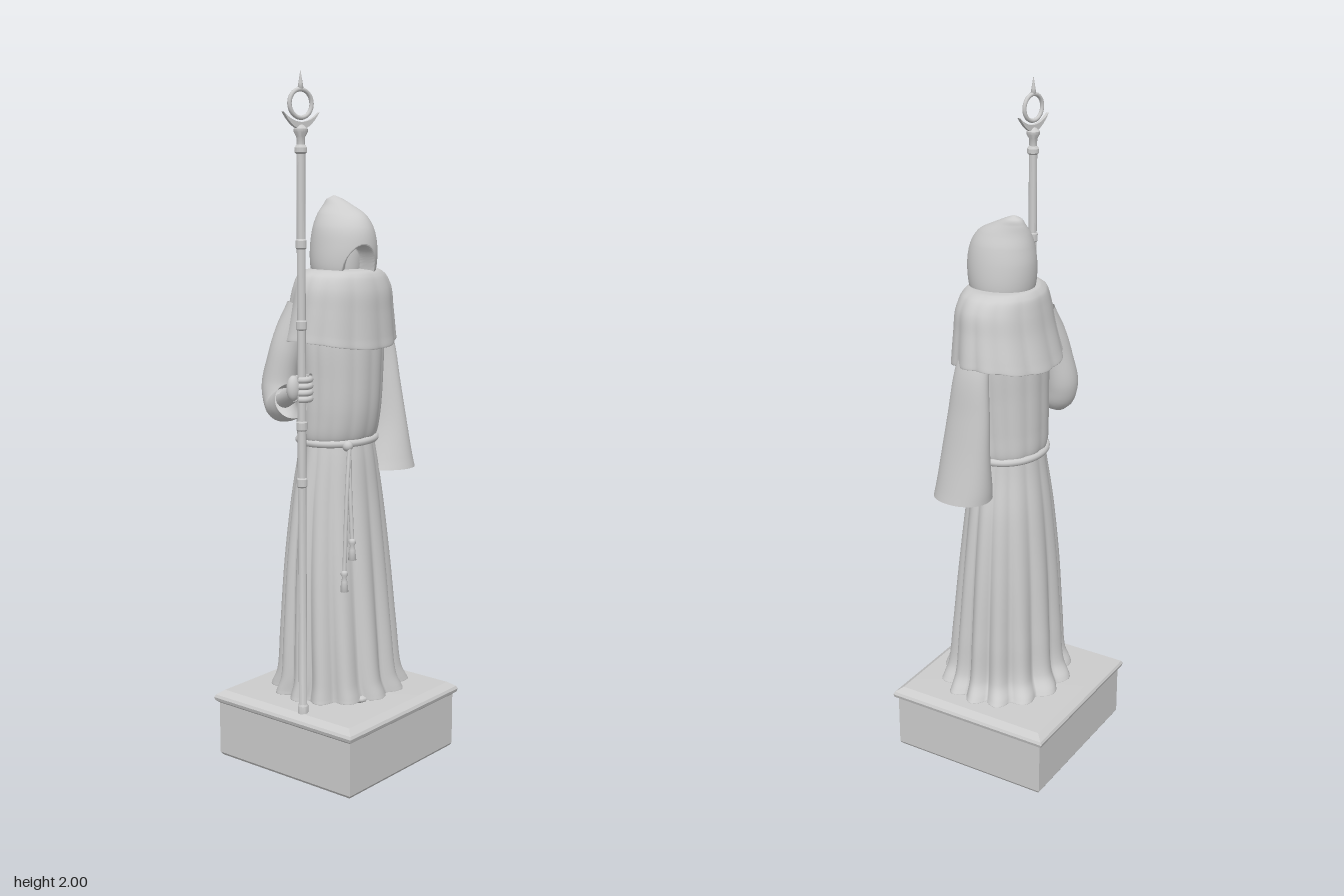
import * as THREE from 'three';
import { toCreasedNormals } from 'three/addons/utils/BufferGeometryUtils.js';

const stone = new THREE.MeshStandardMaterial({ color: 0xcccccc, side: THREE.DoubleSide });
stone.name = 'pale grey stone';
const V = (x, y, z) => new THREE.Vector3(x, y, z);

function add(parent, name, geometry, x = 0, y = 0, z = 0) {
  const mesh = new THREE.Mesh(geometry, stone);
  mesh.name = name;
  mesh.position.set(x, y, z);
  parent.add(mesh);
  return mesh;
}

// Smooth skin through oval cross-sections [y, xMin, xMax, zMin, zMax];
// shape(theta, t, y) returns [radius factor, y offset].
function loft(rows, shape = () => [1, 0], steps = 48, segs = 112) {
  const pos = [], idx = [];
  const mid = rows.map(r => V((r[1] + r[2]) / 2, r[0], (r[3] + r[4]) / 2));
  const half = rows.map(r => V((r[2] - r[1]) / 2, r[0], (r[4] - r[3]) / 2));
  const centres = new THREE.CatmullRomCurve3(mid, false, 'centripetal');
  const radii = new THREE.CatmullRomCurve3(half, false, 'centripetal');
  for (let i = 0; i <= steps; i++) {
    const t = i / steps, c = centres.getPoint(t), r = radii.getPoint(t);
    for (let j = 0; j < segs; j++) {
      const a = j / segs * Math.PI * 2, [k, dy] = shape(a, t, c.y);
      pos.push(c.x + Math.cos(a) * r.x * k, c.y + dy, c.z + Math.sin(a) * r.z * k);
      if (i === steps) continue;
      const n = (j + 1) % segs, p = i * segs;
      idx.push(p + j, p + segs + j, p + n, p + n, p + segs + j, p + segs + n);
    }
  }
  const g = new THREE.BufferGeometry();
  g.setAttribute('position', new THREE.Float32BufferAttribute(pos, 3));
  g.setIndex(idx);
  g.computeVertexNormals();
  return g;
}

// Round tube along points, its radius following a list of values
function sweep(points, radii, n = 40, segs = 24) {
  const path = new THREE.CatmullRomCurve3(points);
  const g = new THREE.TubeGeometry(path, n, 1, segs), p = g.attributes.position;
  for (let i = 0; i <= n; i++) {
    const c = path.getPointAt(i / n), f = i / n * (radii.length - 1);
    const k = Math.min(Math.floor(f), radii.length - 2);
    const r = THREE.MathUtils.lerp(radii[k], radii[k + 1], THREE.MathUtils.smoothstep(f - k, 0, 1));
    for (let j = 0; j <= segs; j++) {
      const v = V().fromBufferAttribute(p, i * (segs + 1) + j).sub(c).multiplyScalar(r).add(c);
      p.setXYZ(i * (segs + 1) + j, v.x, v.y, v.z);
    }
  }
  return g;
}

const lathe = (pts, segs = 20) => new THREE.LatheGeometry(pts.map(p => new THREE.Vector2(...p)), segs);

// Rounded pleats with sharp valleys
const pleat = (a, n, phase) => 1 - Math.abs(Math.sin(a * n / 2 + phase + 0.3 * Math.sin(2 * a)));

function buildPlinth(root) {
  const profile = [[0, 0], [0.245, 0], [0.25, 0.008], [0.25, 0.165], [0.259, 0.172], [0.262, 0.182],
    [0.258, 0.19], [0.238, 0.204], [0, 0.211]].map(([r, y]) => [r * Math.SQRT2, y]);
  const g = lathe(profile, 4).rotateY(Math.PI / 4);
  add(root, 'plinth', toCreasedNormals(g, 0.4), 0.013, 0, 0);
}

function buildRobe(root) {
  add(root, 'skirt', loft([
    [0.235, 0, 0.04, -0.02, 0.02], [0.228, -0.17, 0.21, -0.17, 0.18], [0.22, -0.197, 0.243, -0.192, 0.2],
    [0.232, -0.195, 0.235, -0.187, 0.197], [0.27, -0.189, 0.212, -0.165, 0.186], [0.4, -0.182, 0.2, -0.152, 0.17],
    [0.6, -0.167, 0.186, -0.138, 0.147], [0.8, -0.142, 0.163, -0.118, 0.123],
    [0.92, -0.122, 0.138, -0.1, 0.11], [0.98, -0.112, 0.127, -0.092, 0.1]
  ], (a, t, y) => [1 - pleat(a, 14, 1.7) * (0.03 + 0.11 * THREE.MathUtils.clamp((0.95 - y) / 0.7, 0, 1)), 0], 60, 168));

  add(root, 'torso', loft([
    [0.965, -0.113, 0.128, -0.092, 0.1], [0.985, -0.124, 0.136, -0.1, 0.112], [1.05, -0.13, 0.14, -0.102, 0.126],
    [1.15, -0.133, 0.145, -0.102, 0.132], [1.28, -0.135, 0.15, -0.1, 0.13], [1.38, -0.11, 0.13, -0.08, 0.11]
  ], a => [1 - 0.03 * pleat(a, 14, 1.7), 0]));

  // Shoulder cape, its hem lifted over the arms
  add(root, 'shoulderCape', loft([
    [1.28, -0.12, 0.14, -0.09, 0.11], [1.252, -0.17, 0.188, -0.126, 0.143], [1.24, -0.184, 0.203, -0.139, 0.157],
    [1.27, -0.18, 0.2, -0.131, 0.155], [1.34, -0.169, 0.187, -0.112, 0.15], [1.4, -0.158, 0.176, -0.1, 0.145],
    [1.44, -0.138, 0.153, -0.09, 0.132], [1.458, -0.105, 0.12, -0.075, 0.115], [1.463, -0.06, 0.07, -0.05, 0.08]
  ], (a, t) => {
    const low = Math.max(0, 1 - t);
    return [1 - 0.06 * low * pleat(a, 12, 0.4), 0.035 * Math.cos(a) ** 2 * low];
  }));
}

function buildHood(root) {
  // The face opening is pushed inwards and turned a little to the right
  add(root, 'hood', loft([
    [1.42, -0.075, 0.09, -0.055, 0.11], [1.47, -0.085, 0.097, -0.068, 0.125], [1.53, -0.08, 0.092, -0.072, 0.13],
    [1.58, -0.067, 0.08, -0.067, 0.12], [1.615, -0.043, 0.064, -0.06, 0.094], [1.64, -0.012, 0.052, -0.052, 0.045],
    [1.657, 0.004, 0.044, -0.043, 0.008], [1.667, 0.023, 0.025, -0.021, -0.019]
  ], (a, t, y) => {
    const d = Math.hypot((a - 1.9) / 0.6, (y - 1.45) / 0.08);
    return [0.55 + 0.45 * THREE.MathUtils.smoothstep(d, 0.9, 1.02), 0];
  }, 110, 180));
}

function buildArms(root) {
  // Left sleeve hangs straight and flares to an open cuff
  add(root, 'leftSleeve', loft([
    [0.868, 0.09, 0.252, -0.028, 0.145], [0.9, 0.1, 0.246, -0.03, 0.138], [1.0, 0.125, 0.23, -0.03, 0.12],
    [1.12, 0.135, 0.216, -0.03, 0.1], [1.25, 0.135, 0.202, -0.025, 0.08], [1.36, 0.1, 0.165, -0.02, 0.06]
  ], a => [1 - 0.03 * Math.cos(3 * a), 0], 30, 64));

  // Right sleeve drops to the elbow, then comes forward to the staff
  add(root, 'rightSleeve', sweep([
    V(-0.11, 1.36, -0.03), V(-0.145, 1.24, -0.058), V(-0.16, 1.13, -0.072), V(-0.172, 1.085, -0.055),
    V(-0.195, 1.09, -0.015), V(-0.21, 1.105, 0.018)
  ], [0.042, 0.046, 0.046, 0.05, 0.046, 0.05]));
  add(root, 'rightForearm', sweep([
    V(-0.175, 1.1, -0.04), V(-0.2, 1.12, 0.01), V(-0.215, 1.14, 0.045)
  ], [0.025, 0.023, 0.019], 16, 16));

  // Fist: palm, four curled fingers and a thumb
  const hand = new THREE.Group();
  hand.name = 'rightHand';
  hand.position.set(-0.215, 1.145, 0.06);
  root.add(hand);
  add(hand, 'palm', new THREE.SphereGeometry(1, 20, 14), -0.012, 0, -0.02).scale.set(0.022, 0.036, 0.018);
  for (let i = 0; i < 4; i++) {
    const finger = add(hand, 'finger', new THREE.TorusGeometry(0.022, 0.009, 10, 24, 5), 0, -0.028 + i * 0.018, 0.002);
    finger.rotation.set(Math.PI / 2, 0, -2.2);
  }
  add(hand, 'thumb', sweep([V(0.015, 0.01, -0.022), V(0.026, 0.027, -0.004), V(0.018, 0.036, 0.018)],
    [0.009, 0.009, 0.006], 12, 10));
}

function buildBelt(root) {
  // Cord around the waist
  const belt = [];
  for (let i = 0; i < 24; i++) {
    const a = i / 24 * Math.PI * 2;
    belt.push(V(0.008 + 0.123 * Math.cos(a), 0.97, 0.005 + 0.102 * Math.sin(a)));
  }
  add(root, 'belt', new THREE.TubeGeometry(new THREE.CatmullRomCurve3(belt, true), 96, 0.011, 10, true));
  add(root, 'beltKnot', new THREE.SphereGeometry(0.016, 14, 10), -0.06, 0.965, 0.098);

  // Two hanging ends with knots and tassels
  for (const [x, y, z] of [[-0.104, 0.6, 0.122], [-0.078, 0.69, 0.13]]) {
    add(root, 'cordEnd', new THREE.TubeGeometry(new THREE.CatmullRomCurve3([
      V(-0.06, 0.97, 0.105), V(x * 0.5 - 0.032, 0.85, 0.116), V(x, y, z)]), 24, 0.006, 8));
    add(root, 'tassel', lathe([[0, -0.05], [0.012, -0.05], [0.009, -0.02], [0.006, -0.008],
      [0.011, 0], [0.009, 0.01], [0, 0.014]], 12), x, y, z);
  }
}

function buildStaff(root) {
  const staff = new THREE.Group();
  staff.name = 'staff';
  staff.position.set(-0.215, 0, 0.06);
  staff.rotation.y = -0.21;
  root.add(staff);
  // Shaft with slim raised bands
  const profile = [[0, 0.203], [0.015, 0.203], [0.015, 0.225], [0.012, 0.23]];
  for (const y of [0.88, 1.04, 1.32, 1.54]) {
    profile.push([0.012, y - 0.014], [0.015, y - 0.01], [0.015, y + 0.01], [0.012, y + 0.014]);
  }
  profile.push([0.012, 1.78], [0.017, 1.785], [0.017, 1.797], [0.011, 1.805], [0.012, 1.825],
    [0.019, 1.838], [0.019, 1.846], [0.009, 1.855], [0, 1.86]);
  add(staff, 'shaft', toCreasedNormals(lathe(profile), 0.6));

  // Crescent, ring and spike
  const moon = new THREE.Shape();
  moon.moveTo(-0.06, 1.89);
  moon.quadraticCurveTo(0, 1.8, 0.06, 1.89);
  moon.quadraticCurveTo(0, 1.838, -0.06, 1.89);
  const crescent = new THREE.ExtrudeGeometry(moon, { depth: 0.01, bevelEnabled: false, curveSegments: 20 });
  add(staff, 'crescent', toCreasedNormals(crescent, 0.6), 0, 0, -0.005);
  add(staff, 'ring', new THREE.TorusGeometry(0.037, 0.006, 10, 40), 0, 1.912, 0);
  add(staff, 'spike', lathe([[0, 1.945], [0.008, 1.952], [0.006, 1.965], [0, 2]], 12));
}

export function createModel() {
  const root = new THREE.Group();
  root.name = 'hoodedFigure';
  buildPlinth(root);
  buildRobe(root);
  buildHood(root);
  buildArms(root);
  buildBelt(root);
  buildStaff(root);
  // Shoes just under the hem
  for (const x of [-0.06, 0.1]) {
    add(root, 'shoe', new THREE.SphereGeometry(1, 20, 12), x, 0.222, 0.08).scale.set(0.04, 0.02, 0.09);
  }
  return root;
}
